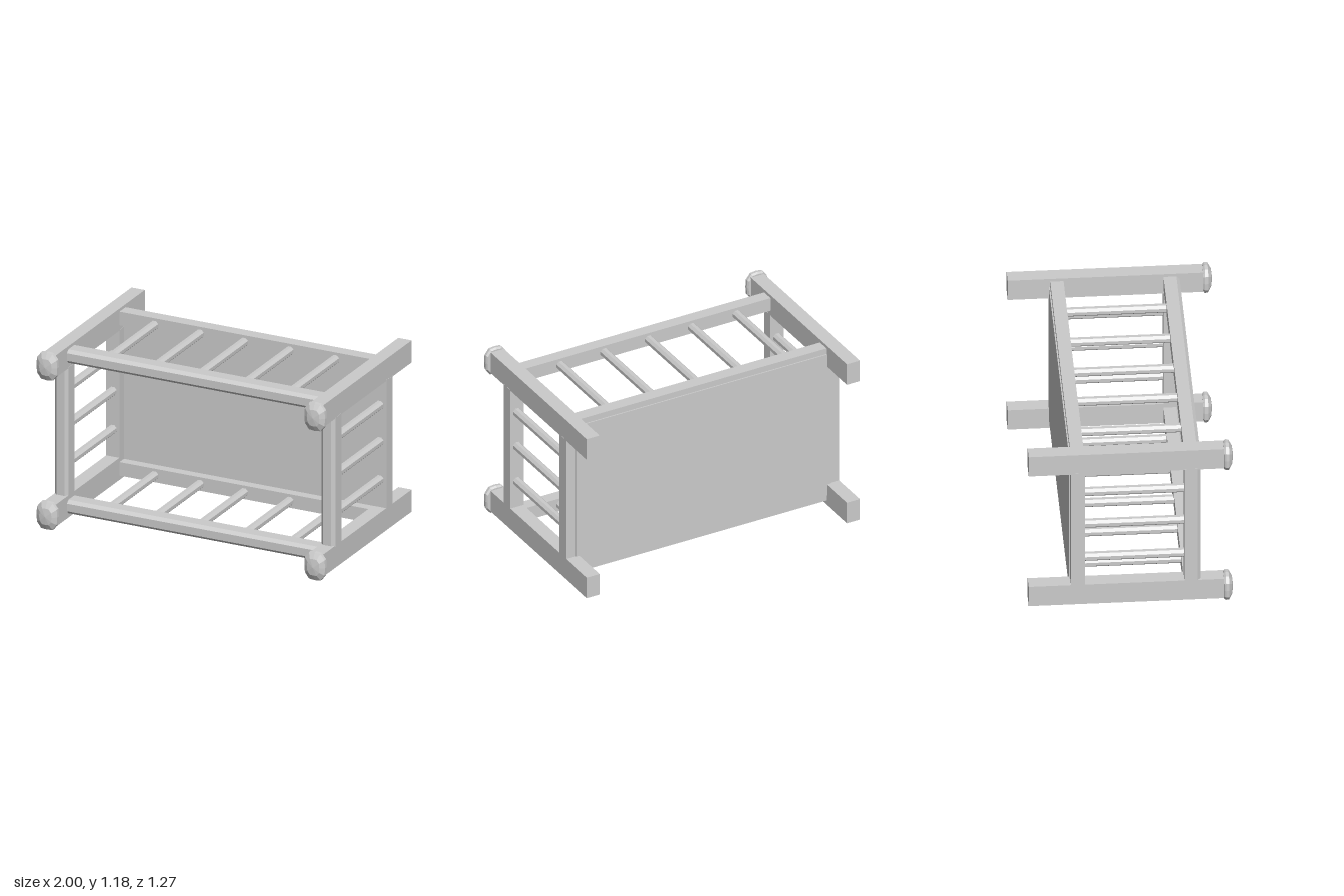
import * as THREE from 'three';

const POST_X = 0.922, LOW_Y = 0.095, HIGH_Y = 1.087;
const material = new THREE.MeshStandardMaterial({ color: 0xcccccc, flatShading: true });

export function createModel() {
  const model = new THREE.Group();

  function add(name, geometry, x, y, z) {
    const mesh = new THREE.Mesh(geometry, material);
    mesh.name = name;
    mesh.position.set(x, y, z);
    model.add(mesh);
  }
  const box = (w, h, d) => new THREE.BoxGeometry(w, h, d);

  // Upright bar with its two front edges chamfered, centred on its length
  function chamferedBar(width, depth, length) {
    const w = width / 2, d = depth / 2, c = 0.02;
    const shape = new THREE.Shape([
      [-w, -d], [w, -d], [w, d - c], [w - c, d], [c - w, d], [-w, d - c],
    ].map(([u, v]) => new THREE.Vector2(u, v)));
    return new THREE.ExtrudeGeometry(shape, { depth: length, bevelEnabled: false })
      .translate(0, 0, -length / 2)
      .rotateX(Math.PI / 2);
  }

  // Eight-sided spindle running along z, flat side up
  const spindle = new THREE.CylinderGeometry(0.029, 0.029, 0.63, 8)
    .rotateY(Math.PI / 8)
    .rotateX(Math.PI / 2);

  // Faceted knob: a lathe squared off into a rounded rectangle
  function knobGeometry() {
    const profile = [[0, 0], [0.9, 0], [1, 0.012], [0.98, 0.032], [0.58, 0.053], [0, 0.06]]
      .map(([r, h]) => new THREE.Vector2(r, h));
    profile.reverse();
    profile.forEach((p) => { p.y = 0.06 - p.y; });
    const g = new THREE.LatheGeometry(profile, 12).rotateX(-Math.PI / 2);
    const p = g.attributes.position;
    for (let i = 0; i < p.count; i++) {
      const x = p.getX(i), y = p.getY(i), r = Math.hypot(x, y);
      if (r < 1e-6) continue;
      const k = r / Math.pow(Math.abs(x) ** 3.2 + Math.abs(y) ** 3.2, 1 / 3.2);
      p.setXY(i, x * k * 0.073, y * k * 0.094);
    }
    // the profile runs front to back, so place its tip at the front
    g.translate(0, 0, 0.06);
    g.computeVertexNormals();
    return g;
  }
  const knob = knobGeometry();

  // Four corner posts with knobs
  for (const x of [-POST_X, POST_X]) {
    for (const y of [LOW_Y, HIGH_Y]) {
      add('cornerPost', box(0.092, 0.147, 1.215), x, y, -0.0245);
      add('postKnob', knob, x + Math.sign(x) * 0.004, y, 0.575);
    }
  }

  // Long rails between the posts
  const frontRail = chamferedBar(0.09, 0.1, 1.8).rotateZ(Math.PI / 2);
  for (const y of [LOW_Y, 1.095]) {
    add('frontRail', frontRail, 0, y, 0.38);
    add('backRail', box(1.8, 0.09, 0.083), 0, y, -0.3285);
    for (const x of [-0.635, -0.32, -0.015, 0.3, 0.615]) {
      add('railSpindle', spindle, x, y, 0.02);
    }
  }

  // End frames
  const frontStile = chamferedBar(0.095, 0.1, 0.86);
  for (const x of [-POST_X, POST_X]) {
    add('frontStile', frontStile, x, 0.59, 0.38);
    add('backStile', box(0.095, 0.86, 0.085), x, 0.59, -0.3285);
    for (const y of [0.352, 0.605, 0.847]) add('endSpindle', spindle, x, y, 0.02);
  }

  // Back panel, standing slightly proud of its frame
  add('backPanel', box(1.8, 1.01, 0.03), 0, 0.595, -0.363);

  return model;
}
